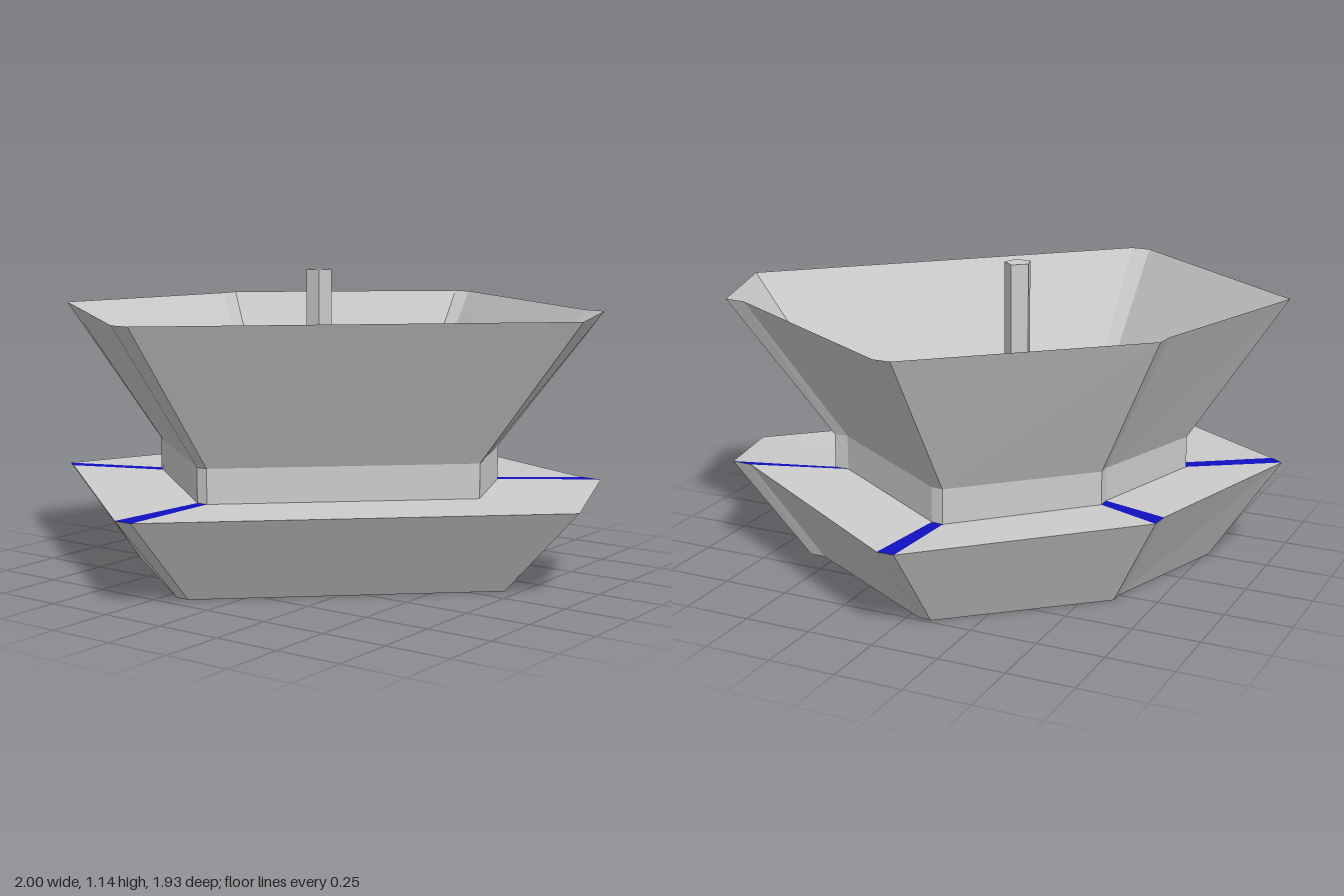
import * as THREE from 'three';

const grey = new THREE.MeshStandardMaterial({ color: 0xcccccc, flatShading: true, side: THREE.DoubleSide });
const blue = new THREE.MeshStandardMaterial({ color: 0x1010c0, flatShading: true, side: THREE.DoubleSide });

// Six corners, clockwise from the back. Each has two rim points, two neck points [x, z],
// the ledge rim height, the neck foot and neck top heights, and an arm path towards the hub.
const corners = [
  { rim: [[-0.075, -0.97], [-0.01, -0.97]], neck: [[-0.095, -0.65], [-0.05, -0.645]], y: [0.33, 0.33, 0.46],
    arm: [[-0.03, -0.48], [0.015, -0.355], [0.005, -0.22], [-0.1, -0.07]] },
  { rim: [[0.79, -0.5], [0.87, -0.495]], neck: [[0.455, -0.35], [0.51, -0.35]], y: [0.37, 0.355, 0.485],
    arm: [[0.44, -0.2], [0.325, -0.07], [0.16, -0.025], [-0.08, -0.04]] },
  { rim: [[1, -0.09], [1, -0.09]], neck: [[0.59, -0.09], [0.59, -0.09]], y: [0.325, 0.33, 0.46] },
  { rim: [[-0.16, 0.96], [-0.235, 0.96]], neck: [[-0.145, 0.575], [-0.19, 0.575]], y: [0.325, 0.33, 0.46],
    arm: [[-0.1, 0.33], [-0.09, 0.19], [-0.1, -0.03]] },
  { rim: [[-0.95, 0.425], [-1, 0.39]], neck: [[-0.64, 0.25], [-0.68, 0.215]], y: [0.365, 0.355, 0.475],
    arm: [[-0.575, 0.11], [-0.46, 0.025], [-0.265, -0.03], [-0.13, -0.045]] },
  { rim: [[-0.785, -0.305], [-0.78, -0.375]], neck: [[-0.535, -0.225], [-0.535, -0.27]], y: [0.35, 0.345, 0.47],
    arm: [[-0.4, -0.25], [-0.225, -0.195], [-0.115, -0.07]] },
];
const HUB_FOOT = 0.32, HUB_TOP = 0.46;

// Mesh from a list of quads, each four [x, y, z] corners
function quadMesh(name, quads, material) {
  const pos = [];
  for (const [a, b, c, d] of quads) pos.push(...a, ...b, ...c, ...a, ...c, ...d);
  const geo = new THREE.BufferGeometry();
  geo.setAttribute('position', new THREE.Float32BufferAttribute(pos, 3));
  geo.computeVertexNormals();
  const mesh = new THREE.Mesh(geo, material);
  mesh.name = name;
  return mesh;
}

// Closed loop of points: t runs from the neck (0) to the rim (1); height is read per corner
function loop(t, height) {
  return corners.flatMap((c) => [0, 1].map((k) => [
    THREE.MathUtils.lerp(c.neck[k][0], c.rim[k][0], t),
    height(c),
    THREE.MathUtils.lerp(c.neck[k][1], c.rim[k][1], t),
  ]));
}

// Quads joining a lower loop to an upper one
function band(lo, hi) {
  return lo.map((p, i) => {
    const j = (i + 1) % lo.length;
    return [lo[j], p, hi[i], hi[j]];
  });
}

// Winding partition wall from a neck corner to the hub, with a blue strip under it
function arm(c) {
  const mid = [0, 1].map((k) => (c.neck[0][k] + c.neck[1][k]) / 2);
  const path = [mid, ...c.arm];
  const sections = path.map((p, i) => {
    const a = path[Math.max(i - 1, 0)], b = path[Math.min(i + 1, path.length - 1)];
    const len = Math.hypot(b[0] - a[0], b[1] - a[1]);
    const n = [(b[1] - a[1]) / len, -(b[0] - a[0]) / len];
    const s = i / (path.length - 1);
    const foot = THREE.MathUtils.lerp(c.y[1], HUB_FOOT, s);
    const top = THREE.MathUtils.lerp(c.y[2], HUB_TOP, s);
    const at = (side, w, y) => (i === 0
      ? [c.neck[side][0], y, c.neck[side][1]]
      : [p[0] + n[0] * w * (side * 2 - 1), y, p[1] + n[1] * w * (side * 2 - 1)]);
    return [at(0, 0.026, foot), at(1, 0.026, foot), at(1, 0.021, top), at(0, 0.021, top)];
  });
  const walls = [], under = [];
  for (let i = 0; i < sections.length - 1; i++) {
    const [a, b] = [sections[i], sections[i + 1]];
    under.push([a[1], a[0], b[0], b[1]]);
    for (let k = 1; k < 4; k++) {
      const m = (k + 1) % 4;
      walls.push([a[m], a[k], b[k], b[m]]);
    }
  }
  const group = new THREE.Group();
  group.name = 'partitionArm';
  group.add(quadMesh('armWall', walls, grey), quadMesh('armUnderside', under, blue));
  return group;
}

export function createModel() {
  const group = new THREE.Group();
  group.name = 'flaredPavilion';

  // Shell: lower skirt, ledge, neck and upper flare
  const base = loop(0.27, () => 0);
  const ledgeRim = loop(1, (c) => c.y[0]);
  const neckFoot = loop(0, (c) => c.y[1]);
  const neckTop = loop(0, (c) => c.y[2]);
  const topRim = loop(1, () => 1);
  group.add(quadMesh('lowerSkirt', band(base, ledgeRim), grey));
  group.add(quadMesh('neck', band(neckFoot, neckTop), grey));
  group.add(quadMesh('upperFlare', band(neckTop, topRim), grey));

  // Ledge sides are grey; the narrow strips at the corners are blue
  const ledge = band(ledgeRim, neckFoot);
  group.add(quadMesh('ledge', ledge.filter((q, i) => i % 2 === 1), grey));
  group.add(quadMesh('ledgeCornerStrips', ledge.filter((q, i) => i % 2 === 0 && corners[i / 2].arm), blue));

  // Inner arms
  for (const c of corners) if (c.arm) group.add(arm(c));

  // Five-sided central post
  const outline = [[-0.1, -0.1], [-0.055, -0.06], [-0.073, -0.005], [-0.133, -0.005], [-0.15, -0.06]];
  const shape = new THREE.Shape(outline.map(([x, z]) => new THREE.Vector2(x, -z)));
  const postGeo = new THREE.ExtrudeGeometry(shape, { depth: 1.14 - HUB_FOOT, bevelEnabled: false });
  postGeo.rotateX(-Math.PI / 2).translate(0, HUB_FOOT, 0);
  const post = new THREE.Mesh(postGeo, grey);
  post.name = 'centralPost';
  group.add(post);

  // Blue cap under the post
  const capGeo = new THREE.ShapeGeometry(shape);
  capGeo.rotateX(-Math.PI / 2).translate(0, HUB_FOOT - 0.003, 0);
  const cap = new THREE.Mesh(capGeo, blue);
  cap.name = 'postUnderside';
  group.add(cap);

  return group;
}
